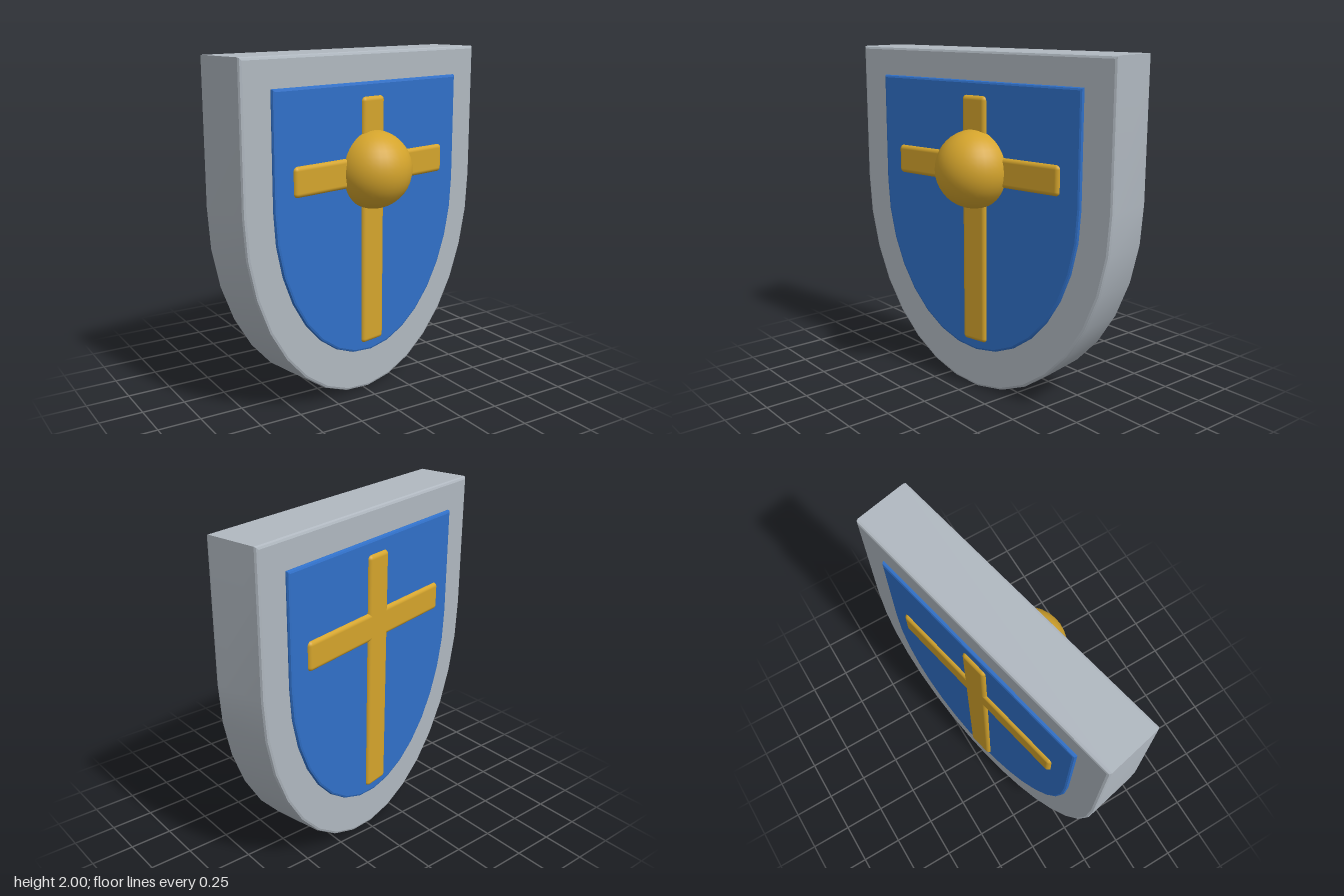
import * as THREE from 'three';
import { toCreasedNormals } from 'three/addons/utils/BufferGeometryUtils.js';
import { RoundedBoxGeometry } from 'three/addons/geometries/RoundedBoxGeometry.js';

const steel = new THREE.MeshStandardMaterial({ name: 'steel', color: 0xb0b8c0 });
const blue = new THREE.MeshStandardMaterial({ name: 'blue', color: 0x3070c8 });
const gold = new THREE.MeshStandardMaterial({ name: 'gold', color: 0xd4a42c });

const SHOULDER = 1.2; // height where the straight sides turn into the curve

// Shield slab: flat top, straight sides and a half-ellipse bottom, softly bevelled
function shieldSlab(halfWidth, top, bottom, depth, bevel) {
  const points = [new THREE.Vector2(halfWidth, top), new THREE.Vector2(-halfWidth, top)];
  const steps = 16;
  for (let i = 0; i <= steps; i++) {
    const a = Math.PI * (1 + i / steps);
    points.push(new THREE.Vector2(
      halfWidth * Math.cos(a),
      SHOULDER + (SHOULDER - bottom) * Math.sin(a)
    ));
  }
  const geometry = new THREE.ExtrudeGeometry(new THREE.Shape(points), {
    depth: depth - 2 * bevel,
    bevelEnabled: true,
    bevelThickness: bevel,
    bevelSize: bevel,
    bevelOffset: -bevel,
    bevelSegments: 2,
  });
  geometry.translate(0, 0, bevel - depth / 2);
  return toCreasedNormals(geometry, 0.36);
}

export function createModel() {
  const model = new THREE.Group();
  model.name = 'shield';

  // The whole shield is turned slightly to one side
  const body = new THREE.Group();
  body.name = 'shieldBody';
  body.rotation.y = THREE.MathUtils.degToRad(12);
  body.position.z = -0.033;
  model.add(body);

  const add = (name, geometry, material, x = 0, y = 0, z = 0) => {
    const mesh = new THREE.Mesh(geometry, material);
    mesh.name = name;
    mesh.position.set(x, y, z);
    body.add(mesh);
  };

  // Steel frame, with a blue panel standing proud on both faces
  add('frame', shieldSlab(0.9, 2, 0, 0.336, 0.016), steel);
  add('panel', shieldSlab(0.711, 1.835, 0.243, 0.374, 0.014), blue);

  // Cross bars run through the shield and show on both faces
  add('uprightBar', new RoundedBoxGeometry(0.17, 1.45, 0.41, 3, 0.025), gold, 0, 1.03, 0);
  add('crossBar', new RoundedBoxGeometry(1.17, 0.17, 0.41, 3, 0.025), gold, 0, 1.34, 0);

  // Round boss on the front only
  add('boss', new THREE.SphereGeometry(0.225, 32, 20), gold, 0, 1.34, 0.192);

  return model;
}
